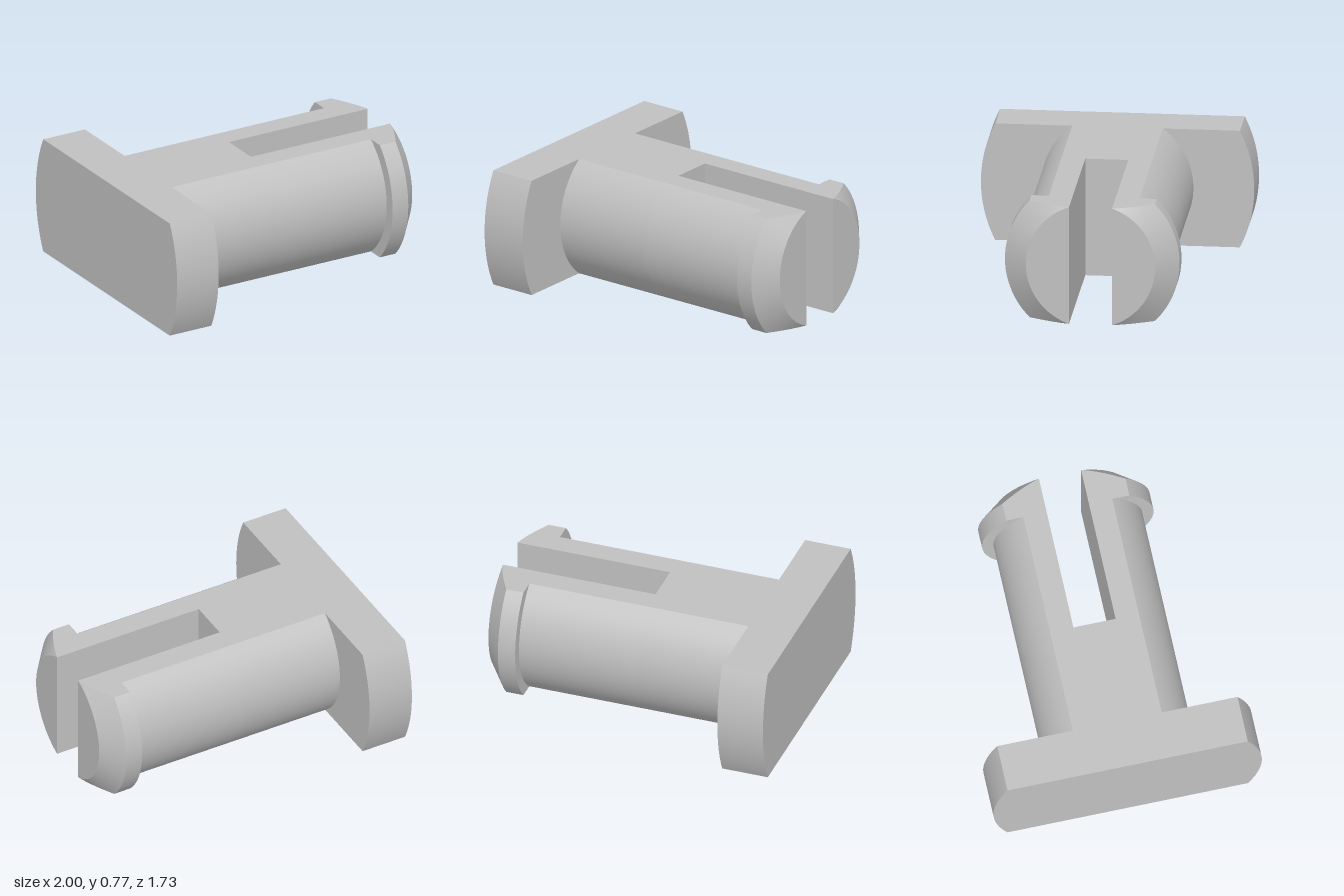
import * as THREE from 'three';
import { toCreasedNormals } from 'three/addons/utils/BufferGeometryUtils.js';

const H = 0.385;    // half height between the flat top and bottom
const SLOT = 0.136; // half width of the slot
const ARC = 40;     // segments of each rounded side

// Half section at x: a round of radius r cut flat at +-H, starting at z = z0
function section([x, r, z0], side) {
  const a = Math.asin(H / r);
  const ring = [new THREE.Vector3(x, H, side * z0)];
  for (let i = 0; i <= ARC; i++) {
    const t = a - (2 * a * i) / ARC;
    ring.push(new THREE.Vector3(x, r * Math.sin(t), side * r * Math.cos(t)));
  }
  ring.push(new THREE.Vector3(x, -H, side * z0));
  return ring;
}

// Joins the stations [x, radius, z0] on both sides of z = 0
function loft(stations, capStart, capEnd) {
  const pos = [];
  const tri = new THREE.Triangle();
  for (const side of [1, -1]) {
    const add = (a, b, c) => {
      tri.set(a, b, c);
      if (tri.getArea() < 1e-8) return;
      for (const p of side > 0 ? [a, b, c] : [a, c, b]) pos.push(p.x, p.y, p.z);
    };
    const rings = stations.map((s) => section(s, side));
    const n = rings[0].length;
    for (let i = 0; i < rings.length - 1; i++) {
      const p = rings[i], q = rings[i + 1];
      // The closing strip is the slot wall or floor; solid parts have none
      const solid = stations[i][2] === 0 && stations[i + 1][2] === 0;
      for (let j = 0; j < (solid ? n - 1 : n); j++) {
        const k = (j + 1) % n;
        add(p[j], p[k], q[j]);
        add(p[k], q[k], q[j]);
      }
    }
    const first = rings[0], last = rings[rings.length - 1];
    for (let j = 1; j < n - 1; j++) {
      if (capStart) add(first[0], first[j + 1], first[j]);
      if (capEnd) add(last[0], last[j], last[j + 1]);
    }
  }
  const geo = new THREE.BufferGeometry();
  geo.setAttribute('position', new THREE.Float32BufferAttribute(pos, 3));
  return toCreasedNormals(geo, 0.28);
}

export function createModel() {
  const group = new THREE.Group();
  const grey = new THREE.MeshStandardMaterial({ color: 0xc0c0c0 });
  grey.name = 'grey';

  const addPart = (name, stations, capStart = false, capEnd = false) => {
    const mesh = new THREE.Mesh(loft(stations, capStart, capEnd), grey);
    mesh.name = name;
    mesh.position.y = H;
    group.add(mesh);
  };

  // Wide end flange with its shoulder down to the shaft
  addPart('flange', [[-1, 0.865, 0], [-0.695, 0.865, 0], [-0.695, 0.48, 0]], true);

  // Solid shaft, then the two prongs on either side of the slot
  addPart('shaft', [[-0.695, 0.48, 0], [-0.02, 0.48, 0]]);
  addPart('prongs', [[-0.02, 0.48, 0], [-0.02, 0.48, SLOT], [0.77, 0.48, SLOT]]);

  // Snap heads: a lip, then a cone cut by the flats
  const head = [[0.77, 0.48, SLOT], [0.77, 0.553, SLOT]];
  const steps = 14;
  for (let i = 0; i <= steps; i++) {
    const t = i / steps;
    head.push([0.885 + 0.115 * t, 0.553 - 0.144 * t, SLOT]);
  }
  addPart('snapHeads', head, false, true);

  return group;
}
